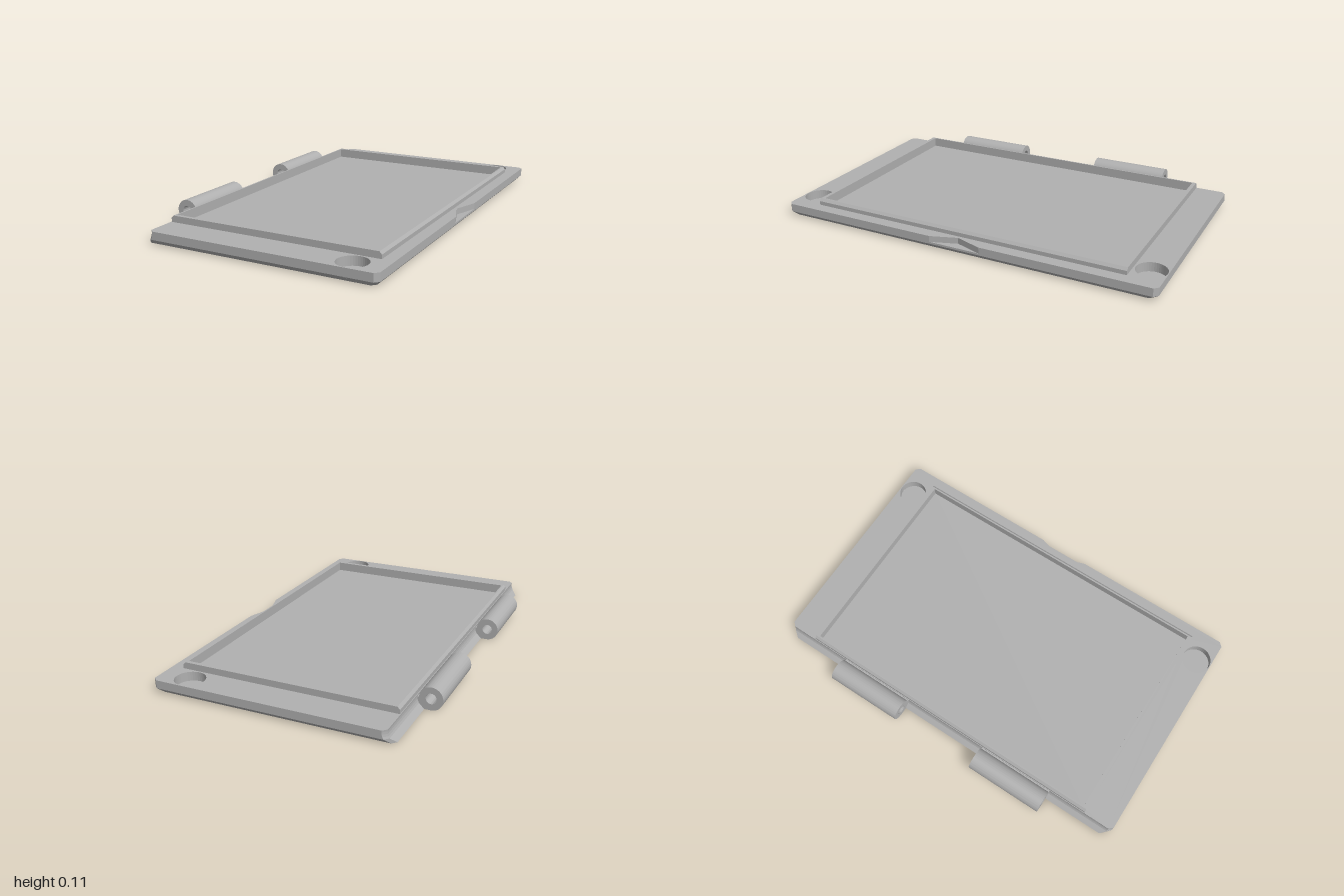
import * as THREE from 'three';
import { toCreasedNormals } from 'three/addons/utils/BufferGeometryUtils.js';

const TOP = 0.066, FLOOR = 0.05, HINGE = { x: -0.593, y: 0.057, r: 0.057 };

function meshFrom(positions, name, material) {
  const g = new THREE.BufferGeometry();
  g.setAttribute('position', new THREE.Float32BufferAttribute(positions, 3));
  g.computeVertexNormals();
  const m = new THREE.Mesh(g, material);
  m.name = name;
  return m;
}

// Joins a stack of loops; each loop is { y, pts: [[x, z], ...] }
function loft(loops, name, material) {
  const out = [];
  for (let k = 0; k + 1 < loops.length; k++) {
    const a = loops[k], b = loops[k + 1], n = a.pts.length;
    for (let i = 0; i < n; i++) {
      const j = (i + 1) % n;
      const P = (l, t) => [l.pts[t][0], l.y, l.pts[t][1]];
      out.push(...P(a, i), ...P(b, i), ...P(a, j), ...P(b, i), ...P(b, j), ...P(a, j));
    }
  }
  return meshFrom(out, name, material);
}

// Flat horizontal face with holes
function face(pts, holes, y, name, material) {
  const vec = (l) => l.map(([x, z]) => new THREE.Vector2(x, -z));
  const shape = new THREE.Shape(vec(pts));
  for (const h of holes) shape.holes.push(new THREE.Path(vec(h)));
  const g = new THREE.ShapeGeometry(shape).rotateX(-Math.PI / 2).translate(0, y, 0);
  const m = new THREE.Mesh(g, material);
  m.name = name;
  return m;
}

const rect = (x0, x1, z) => [[x0, -z], [x1, -z], [x1, z], [x0, z]];

const circle = (cx, cz, r, n = 40) => Array.from({ length: n }, (_, i) => {
  const t = (i / n) * Math.PI * 2;
  return [cx + r * Math.cos(t), cz + r * Math.sin(t)];
});

// Plate outline at a height: concave hinge side, chamfered base, thumb notch
function plateLoop(y, notch) {
  const e = Math.max(0, 0.025 - y), c = 0.02;
  const xl = HINGE.x + Math.sqrt(0.065 ** 2 - (y - HINGE.y) ** 2);
  const xr = 0.645 - e, z = 1 - e;
  return { y, pts: [
    [xl, c - z], [xl + c, -z], [xr - c, -z], [xr, c - z],
    [xr, -0.135], [notch ? 0.6 : xr, 0], [xr, 0.135],
    [xr, z - c], [xr - c, z], [xl + c, z], [xl, z - c],
  ] };
}

// Height field whose level lines are carved into the underside
function terrain(x, z) {
  return 20 * Math.exp(-((x - 0.2) ** 2 * 1.5 + (z + 0.82) ** 2 * 0.9))
    + 7 * Math.exp(-((x + 0.45) ** 2 / 0.2 + (z - 0.27) ** 2 / 0.12))
    + 8 * Math.exp(-((x + 0.1) ** 2 / 2 + (z - 1.25) ** 2 / 0.25))
    + 0.5 * Math.sin(4 * x + 3 * z);
}

// Negative inside a groove, positive on the flat
function grooveField(x, z) {
  const half = 0.006, h = 0.002;
  const edge = Math.max(Math.abs(x - 0.03) - 0.525, Math.abs(z) - 0.925);
  let q = Math.abs(edge);
  if (edge < 0) {
    const f = terrain(x, z);
    const slope = Math.hypot(terrain(x + h, z) - f, terrain(x, z + h) - f) / h;
    q = Math.min(q, Math.abs(f - Math.round(f)) / (slope + 0.5));
  }
  return q - half;
}

// Grid triangles split along the groove edges, with upright walls between
function grooves(x0, x1, zh, material) {
  const nx = 104, nz = 176, depth = 0.008, out = [];
  const pts = [];
  for (let j = 0; j <= nz; j++) {
    for (let i = 0; i <= nx; i++) {
      const x = x0 + ((x1 - x0) * i) / nx, z = -zh + (2 * zh * j) / nz;
      pts.push([x, z, grooveField(x, z)]);
    }
  }
  const put = (p, y) => out.push(p[0], y, p[1]);
  const split = (tri) => {
    const high = [], low = [], cut = [];
    tri.forEach((p, i) => {
      const n = tri[(i + 1) % 3];
      (p[2] >= 0 ? high : low).push(p);
      if ((p[2] >= 0) !== (n[2] >= 0)) {
        const t = p[2] / (p[2] - n[2]);
        const c = [p[0] + (n[0] - p[0]) * t, p[1] + (n[1] - p[1]) * t];
        high.push(c); low.push(c); cut.push(c);
      }
    });
    for (const [poly, y] of [[high, 0], [low, depth]]) {
      for (let i = 1; i + 1 < poly.length; i++) {
        put(poly[0], y); put(poly[i], y); put(poly[i + 1], y);
      }
    }
    if (cut.length === 2) {
      const [a, b] = cut;
      put(a, 0); put(b, 0); put(b, depth);
      put(a, 0); put(b, depth); put(a, depth);
    }
  };
  for (let j = 0; j < nz; j++) {
    for (let i = 0; i < nx; i++) {
      const k = j * (nx + 1) + i, a = pts[k], b = pts[k + 1];
      const c = pts[k + nx + 1], d = pts[k + nx + 2];
      split([a, b, c]);
      split([b, d, c]);
    }
  }
  return meshFrom(out, 'contourGrooves', material);
}

export function createModel() {
  const model = new THREE.Group();
  model.name = 'hingedLid';
  const grey = new THREE.MeshStandardMaterial({ color: 0xb0b0b0, side: THREE.DoubleSide });
  grey.name = 'grey';

  // Plate
  const inner = rect(-0.505, 0.565, 0.82);
  const pockets = [-0.922, 0.922].map((z) => circle(0.49, z, 0.074));
  const loops = [plateLoop(0), plateLoop(0.025), plateLoop(0.035)];
  for (const y of [0.035, 0.046, 0.057, TOP]) loops.push(plateLoop(y, true));
  model.add(loft(loops, 'plateSides', grey));
  model.add(face(loops.at(-1).pts, [inner, ...pockets], TOP, 'plateTop', grey));

  // Underside with carved level lines
  const carved = [-0.52, 0.58, 0.95];
  model.add(face(loops[0].pts, [rect(...carved)], 0, 'undersideBorder', grey));
  model.add(grooves(...carved, grey));

  // Round corner pockets
  for (const p of pockets) {
    model.add(loft([{ y: TOP, pts: p }, { y: 0.02, pts: p }], 'pocketWall', grey));
    model.add(face(p, [], 0.02, 'pocketFloor', grey));
  }

  // Raised rim around the tray
  model.add(loft([
    { y: TOP, pts: rect(-0.525, 0.585, 0.84) },
    { y: 0.086, pts: rect(-0.525, 0.585, 0.84) },
    { y: 0.099, pts: rect(-0.513, 0.573, 0.84) },
    { y: 0.099, pts: inner },
    { y: FLOOR, pts: inner },
  ], 'rim', grey));
  model.add(face(inner, [], FLOOR, 'trayFloor', grey));

  // Hinge barrels with a foot running into the plate
  const section = new THREE.Shape();
  section.absarc(HINGE.x, HINGE.y, HINGE.r, 0, Math.PI * 1.5, false);
  section.lineTo(-0.527, 0);
  section.lineTo(-0.527, HINGE.y);
  const bore = new THREE.Path();
  bore.absarc(HINGE.x, HINGE.y, 0.026, 0, Math.PI * 2, true);
  section.holes.push(bore);
  const barrel = toCreasedNormals(new THREE.ExtrudeGeometry(section,
    { depth: 0.408, bevelEnabled: false, curveSegments: 40 }), 0.5);
  for (const z of [-0.64, 0.23]) {
    const hinge = new THREE.Mesh(barrel, grey);
    hinge.name = 'hingeBarrel';
    hinge.position.z = z;
    model.add(hinge);
  }
  return model;
}
